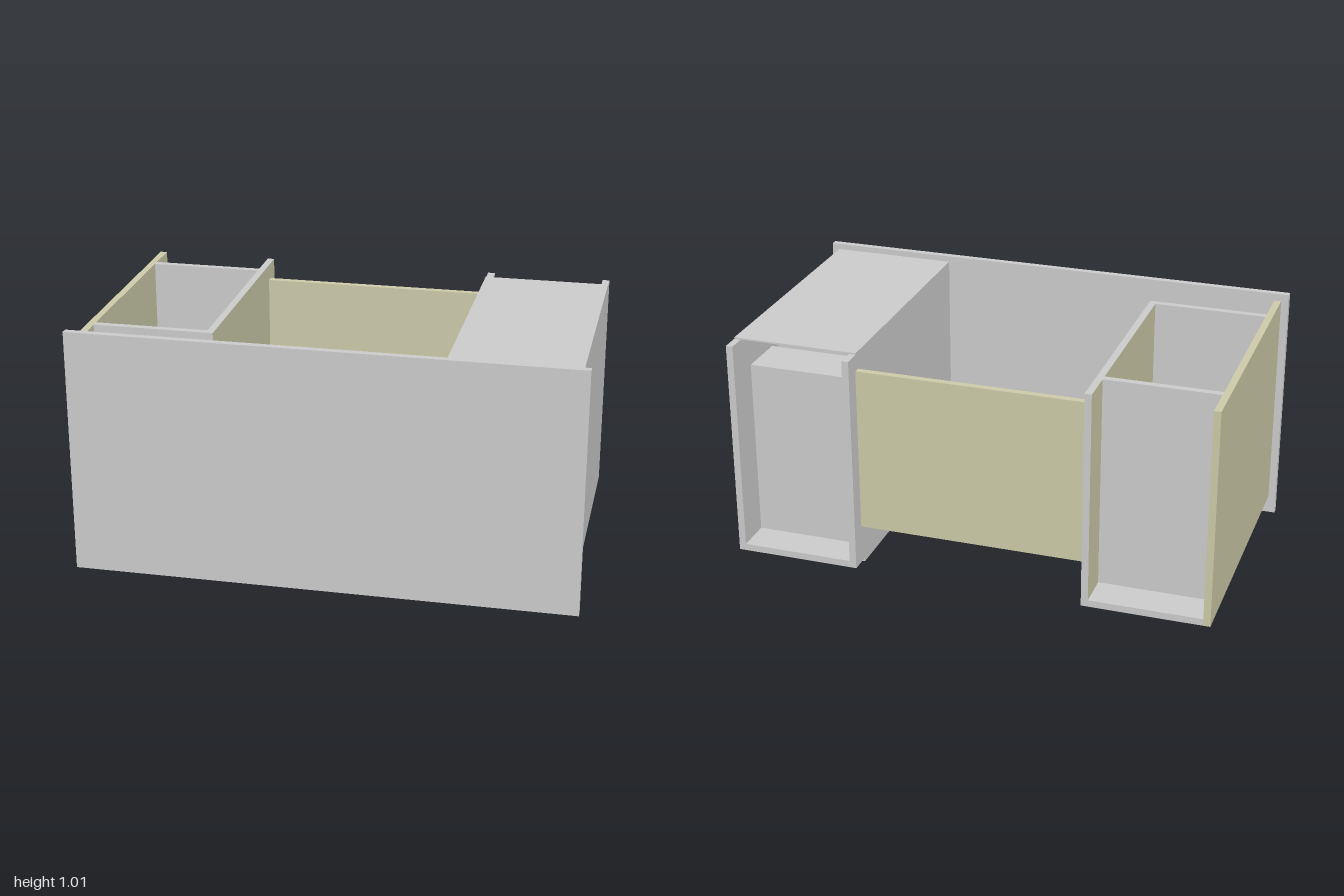
import * as THREE from 'three';

const grey = new THREE.MeshStandardMaterial({ color: 0xcccccc });
const olive = new THREE.MeshStandardMaterial({ color: 0xcccaa8 });
// face order: +x, -x, +y, -y, +z, -z
const oliveSides = [olive, olive, grey, grey, grey, grey];
const oliveUnder = [grey, grey, grey, olive, grey, grey];

// Box given by its lower and upper limits on each axis
function panel(parent, name, [x0, x1], [y0, y1], [z0, z1], material = grey) {
  const mesh = new THREE.Mesh(new THREE.BoxGeometry(x1 - x0, y1 - y0, z1 - z0), material);
  mesh.position.set((x0 + x1) / 2, (y0 + y1) / 2, (z0 + z1) / 2);
  mesh.name = name;
  parent.add(mesh);
  return mesh;
}

// Desk lying on its front: the top faces +z, the feet point to -z
export function createModel() {
  const desk = new THREE.Group();
  desk.name = 'desk';
  const height = [0.095, 0.985];

  panel(desk, 'deskTop', [-1, 1], [0.02, 1.015], [0.547, 0.575]);
  panel(desk, 'modestyPanel', [-0.463, 0.463], [0.25, 0.92], [-0.51, -0.482], olive);

  // Open cabinet
  const cabinet = new THREE.Group();
  cabinet.name = 'openCabinet';
  desk.add(cabinet);
  panel(cabinet, 'outerSide', [-0.97, -0.942], height, [-0.575, 0.547], olive);
  panel(cabinet, 'innerSide', [-0.491, -0.463], height, [-0.575, 0.39], oliveSides);
  panel(cabinet, 'upperShelf', [-0.942, -0.491], height, [0.362, 0.39]);
  panel(cabinet, 'lowerShelf', [-0.942, -0.491], height, [-0.43, -0.402]);
  panel(cabinet, 'kickBoard', [-0.942, -0.491], [0.095, 0.123], [-0.575, -0.43]);

  // Drawer cabinet
  const drawers = new THREE.Group();
  drawers.name = 'drawerCabinet';
  desk.add(drawers);
  panel(drawers, 'outerSide', [0.942, 0.97], height, [-0.575, 0.547]);
  panel(drawers, 'innerSide', [0.463, 0.491], height, [-0.575, 0.547]);
  panel(drawers, 'kickBoard', [0.491, 0.942], [0.095, 0.123], [-0.575, -0.43]);
  panel(drawers, 'backSheet', [0.463, 0.97], [0.985, 0.991], [-0.5, 0.547], oliveUnder);

  // Four drawers, each with a front, an open tray and a bow handle
  const handleArc = 1.9;
  const handleShape = new THREE.TorusGeometry(0.13, 0.009, 10, 28, handleArc);
  handleShape.rotateZ(-Math.PI / 2 - handleArc / 2);
  handleShape.scale(1, 1, 0.65);
  for (let i = 0; i < 4; i++) {
    const drawer = new THREE.Group();
    drawer.name = 'drawer';
    drawers.add(drawer);
    const z0 = -0.458 + i * 0.2535;
    const z1 = Math.min(z0 + 0.248, 0.547);
    panel(drawer, 'drawerFront', [0.475, 0.958], [0.062, 0.095], [z0, z1]);
    const tray = [z0 + 0.028, z1 - 0.02];
    panel(drawer, 'drawerBottom', [0.491, 0.942], [0.095, 0.85], [tray[0], tray[0] + 0.012]);
    panel(drawer, 'drawerBack', [0.491, 0.942], [0.836, 0.85], tray);
    panel(drawer, 'drawerLeftWall', [0.93, 0.942], [0.095, 0.85], tray);
    panel(drawer, 'drawerRightWall', [0.491, 0.503], [0.095, 0.85], tray);
    const handle = new THREE.Mesh(handleShape, grey);
    handle.name = 'handle';
    handle.position.set(0.717, 0.139, z0 + 0.124);
    drawer.add(handle);
  }
  return desk;
}
